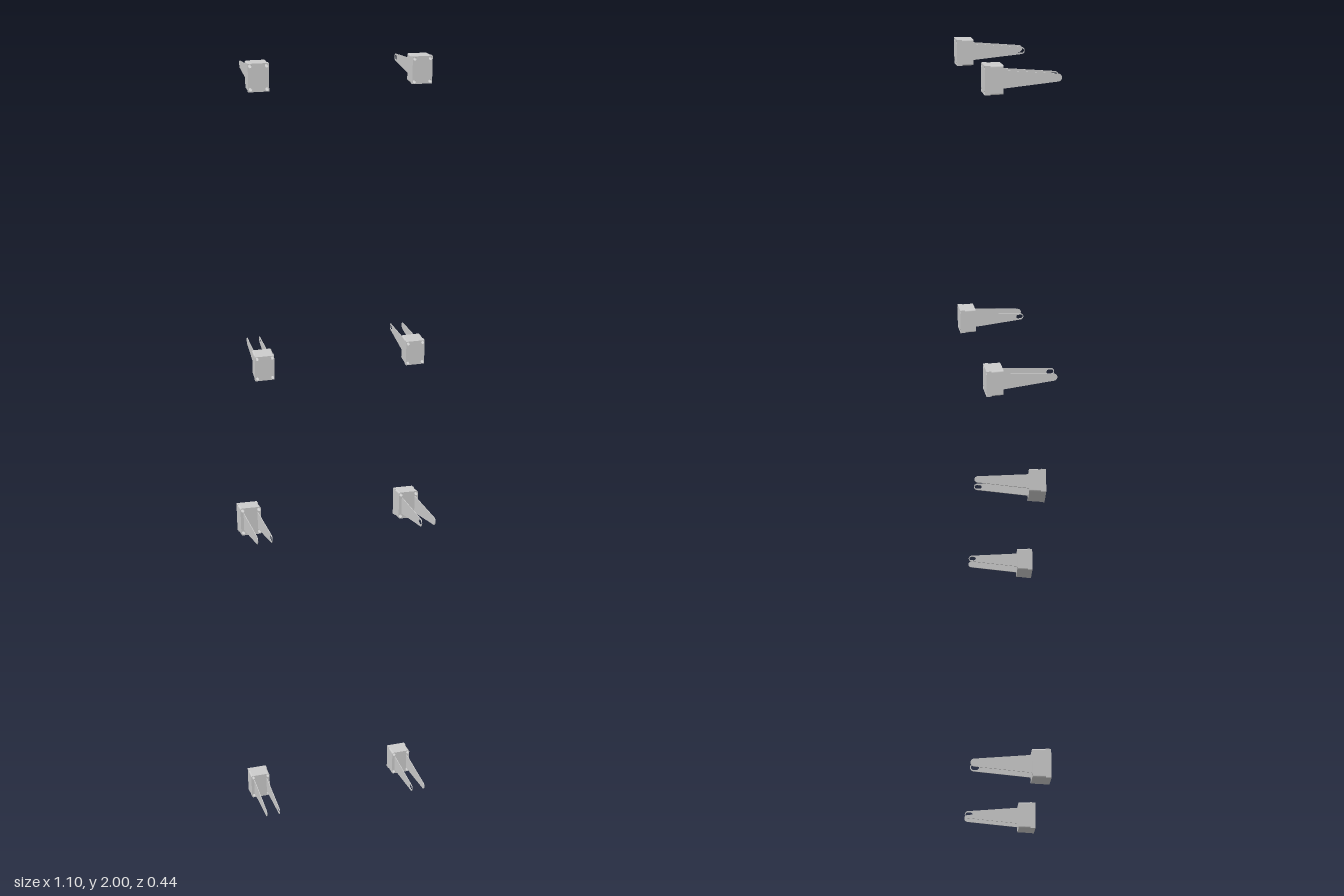
import * as THREE from 'three';

const W = 0.122, H = 0.165;             // block width and height
const FRONT = 0.22, STEP = 0.188, BACK = 0.115;
const material = new THREE.MeshStandardMaterial({ color: 0xcccccc });

// Rectangle with rounded corners and a screw hole in each corner
function blockSection(radius) {
  const x = W / 2, y = H / 2, s = new THREE.Shape();
  if (radius > 0) {
    s.absarc(x - radius, y - radius, radius, 0, Math.PI / 2);
    s.absarc(-x + radius, y - radius, radius, Math.PI / 2, Math.PI);
    s.absarc(-x + radius, -y + radius, radius, Math.PI, Math.PI * 1.5);
    s.absarc(x - radius, -y + radius, radius, Math.PI * 1.5, Math.PI * 2);
    s.closePath();
  } else {
    s.moveTo(-x, -y).lineTo(x, -y).lineTo(x, y).lineTo(-x, y).closePath();
  }
  for (const i of [-1, 1]) for (const j of [-1, 1]) {
    s.holes.push(new THREE.Path().absarc(i * (x - 0.013), j * (y - 0.015), 0.0105, 0, Math.PI * 2, true));
  }
  return s;
}

function slab(name, radius, z0, z1) {
  const geo = new THREE.ExtrudeGeometry(blockSection(radius), {
    depth: z1 - z0, bevelEnabled: false, curveSegments: 10,
  });
  const mesh = new THREE.Mesh(geo.translate(0, 0, z0), material);
  mesh.name = name;
  return mesh;
}

// Tapered thin plate with a round tip, optionally with a slot near the tip
function tongue(name, x, slotted) {
  const t = 0.004, r = 0.023, c = 0.221 - r, a = 1.66;
  const s = new THREE.Shape();
  s.moveTo(-BACK, -0.051);
  s.lineTo(c + r * Math.cos(a), -r * Math.sin(a));
  s.absarc(c, 0, r, -a, a);
  s.lineTo(-BACK, 0.051);
  s.closePath();
  if (slotted) {
    const hole = new THREE.Path();
    hole.absarc(c - 0.012, 0, 0.014, Math.PI * 1.5, Math.PI / 2, true);
    hole.absarc(c + 0.004, 0, 0.014, Math.PI / 2, -Math.PI / 2, true);
    hole.closePath();
    s.holes.push(hole);
  }
  const geo = new THREE.ExtrudeGeometry(s, { depth: t, bevelEnabled: false, curveSegments: 16 });
  geo.rotateY(Math.PI / 2).translate(x - t / 2, 0, 0);
  const mesh = new THREE.Mesh(geo, material);
  mesh.name = name;
  return mesh;
}

// One bracket; side is +1 or -1 and the slotted plate faces the middle
function bracket(side) {
  const g = new THREE.Group();
  g.add(
    slab('frontBlock', 0, STEP, FRONT),
    slab('rearBlock', 0.01, BACK, STEP),
    tongue('outerTongue', side * 0.0415, false),
    tongue('innerTongue', -side * 0.0415, true),
  );
  return g;
}

export function createModel() {
  const model = new THREE.Group();
  model.name = 'bracketSet';
  for (const side of [-1, 1]) {
    for (const top of [false, true]) {
      const b = bracket(side);
      b.name = (top ? 'upper' : 'lower') + (side > 0 ? 'Left' : 'Right') + 'Bracket';
      b.position.set(side * 0.489, top ? 2 - H / 2 : H / 2, 0);
      model.add(b);
    }
  }
  return model;
}
